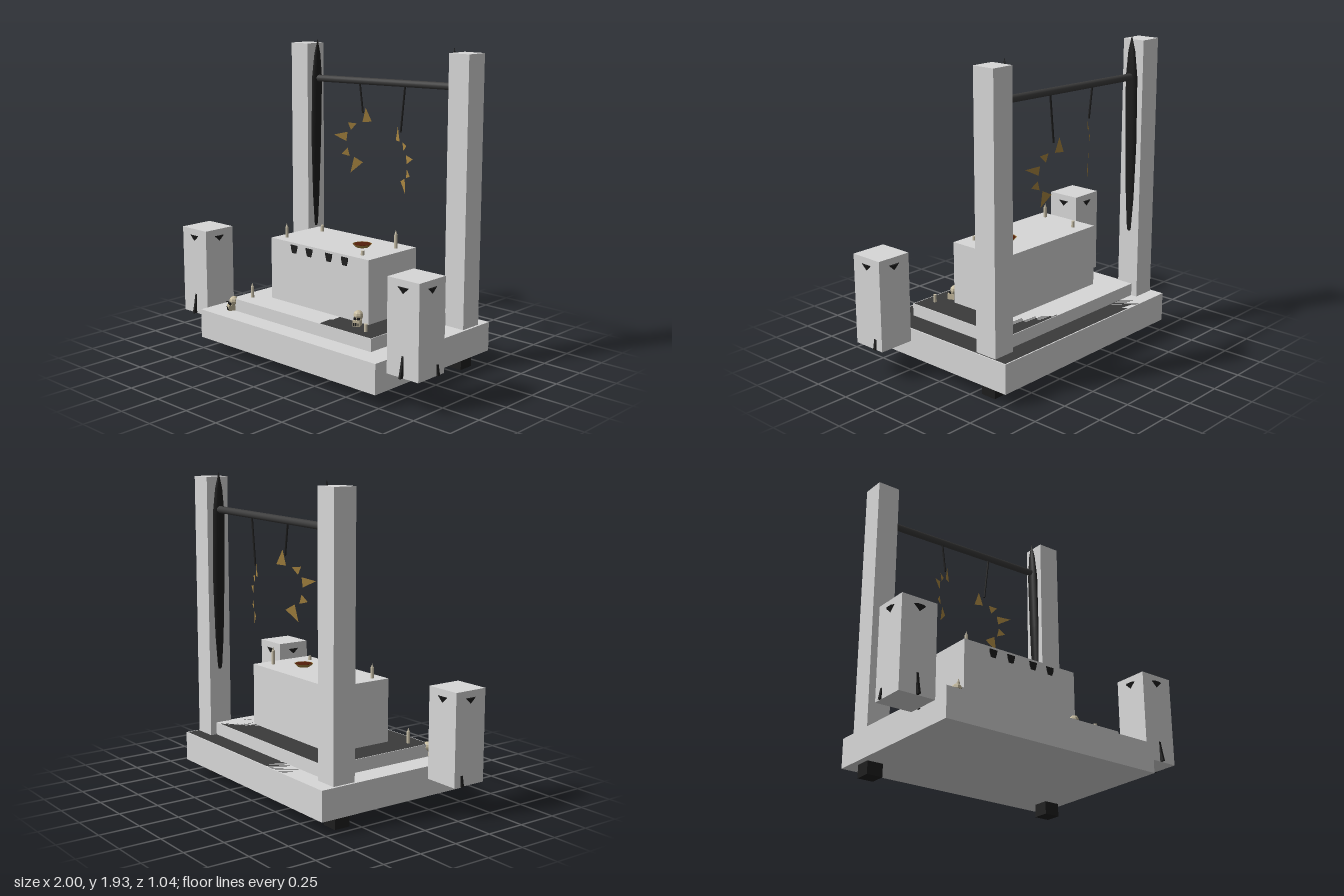
import * as THREE from 'three';

const mat = (name, color, options = {}) => {
  const m = new THREE.MeshStandardMaterial({ color, ...options });
  m.name = name;
  return m;
};

export function createModel() {
  const root = new THREE.Group();
  root.name = 'altar';
  const slate = mat('dark slate', 0x3a3a3a);
  const stone = mat('stone', 0xd8d8d8);
  const iron = mat('black iron', 0x1e1e1e);
  const bar = mat('charcoal bar', 0x3c3c3c);
  const gold = mat('old gold', 0xa88540, { side: THREE.DoubleSide });
  const wine = mat('dark red', 0x551e0a);
  const wax = mat('wax', 0xc8bfa8);
  const bone = mat('bone', 0xc8bda0, { flatShading: true });

  const add = (name, geo, m, x = 0, y = 0, z = 0, parent = root) => {
    const mesh = new THREE.Mesh(geo, m);
    mesh.name = name;
    mesh.position.set(x, y, z);
    parent.add(mesh);
    return mesh;
  };
  // box from its width, bottom, top and depth
  const block = (name, m, w, y0, y1, d, x = 0, z = 0, parent = root) =>
    add(name, new THREE.BoxGeometry(w, y1 - y0, d), m, x, (y0 + y1) / 2, z, parent);
  // rod between two points
  const rod = (name, m, a, b, r, sides) => {
    const p = new THREE.Vector3(...a), q = new THREE.Vector3(...b);
    const d = q.clone().sub(p);
    const mesh = add(name, new THREE.CylinderGeometry(r, r, d.length(), sides), m);
    mesh.position.copy(p.add(q).multiplyScalar(0.5));
    mesh.quaternion.setFromUnitVectors(new THREE.Vector3(0, 1, 0), d.normalize());
  };
  const outline = (points) => new THREE.Shape(points.map(([x, y]) => new THREE.Vector2(x, y)));
  const plate = (points, depth) => new THREE.ExtrudeGeometry(outline(points), { depth, bevelEnabled: false });
  const lathe = (points, sides) =>
    new THREE.LatheGeometry(points.map(([x, y]) => new THREE.Vector2(x, y)), sides);

  // stepped platform with dark paving let in flush, and altar block
  block('basePaving', slate, 1.464, 0.252, 0.262, 1.024);
  block('base', stone, 1.48, 0.08, 0.262, 1.04);
  block('stepPaving', slate, 1.17, 0.33, 0.34, 0.77);
  block('step', stone, 1.18, 0.262, 0.34, 0.78);
  block('altarBlock', stone, 0.82, 0.34, 0.73, 0.425);
  const tooth = plate([[-0.028, 0.05], [-0.025, 0.028], [-0.016, 0], [0.016, 0], [0.025, 0.028], [0.028, 0.05]], 0.006);
  for (const x of [-0.205, -0.075, 0.09, 0.22]) add('altarTooth', tooth, iron, x, 0.665, 0.211);

  // posts, feet and pointed inner blades leaning into the posts
  const blade = lathe([[0, 0], [0.75, 0], [1, 0.6], [1, 0.98], [0.6, 1.14], [0, 1.24]], 12);
  for (const s of [-1, 1]) {
    block('post', stone, 0.146, 0.262, 1.9, 0.148, s * 0.652, -0.357);
    block('foot', iron, 0.102, 0, 0.08, 0.102, s * 0.65, -0.35);
    const b = add('blade', blade, iron, s * 0.594, 0.69, -0.357);
    b.scale.set(0.022, 1, 0.041);
    b.rotation.z = s * 0.0275;
  }

  // crossbar and hanging chains
  rod('crossbar', bar, [-0.575, 1.674, -0.357], [0.575, 1.7, -0.357], 0.022, 16);
  rod('chain', iron, [-0.187, 1.67, -0.357], [-0.16, 1.48, -0.357], 0.006, 8);
  rod('chain', iron, [0.187, 1.68, -0.357], [0.155, 1.39, -0.357], 0.006, 8);

  // two arcs of flat gilded shards: x, y, length, half width, lean
  const arcs = [
    { name: 'leftArc', pivot: -0.15, yaw: 0.6, shards: [
      [-0.138, 1.47, 0.09, 0.03, 0.1], [-0.208, 1.405, 0.05, 0.026, -1.2], [-0.275, 1.335, 0.085, 0.03, 1.45],
      [-0.242, 1.235, 0.05, 0.027, -0.25], [-0.2, 1.14, 0.1, 0.033, 2.6]] },
    { name: 'rightArc', pivot: 0.15, yaw: -0.42, shards: [
      [0.12, 1.375, 0.09, 0.028, 0], [0.198, 1.315, 0.05, 0.028, 0.8], [0.275, 1.24, 0.09, 0.028, -1.4],
      [0.25, 1.15, 0.05, 0.028, 0.3], [0.208, 1.055, 0.095, 0.032, -2.7]] },
  ];
  for (const { name, pivot, yaw, shards } of arcs) {
    const g = new THREE.Group();
    g.name = name;
    g.position.set(pivot, 0, -0.357);
    g.rotation.y = yaw;
    root.add(g);
    for (const [x, y, len, r, lean] of shards) {
      const triangle = new THREE.ShapeGeometry(outline([[-r, -len / 2], [r, -len / 2], [0, len / 2]]));
      add('shard', triangle, gold, (x - pivot) / Math.cos(yaw), y, 0, g).rotation.z = lean;
    }
  }

  // freestanding pillars with wedges and claws
  const wedge = new THREE.ConeGeometry(0.04, 0.037, 6, 1, false, Math.PI / 6);
  const fin = plate([[0, 0], [0.026, 0], [0.012, 0.06], [0, 0.125]], 0.014);
  const claw = plate([[0, 0], [0.014, 0], [0, 0.075]], 0.018);
  for (const s of [-1, 1]) {
    const g = new THREE.Group();
    g.name = 'sidePillar';
    g.position.set(s * 0.874, 0, 0.338);
    root.add(g);
    block('pillar', stone, 0.226, 0.195, 0.75, 0.222, 0, 0, g);
    for (let i = 0; i < 4; i++) {
      const face = new THREE.Group();
      face.name = 'pillarFace';
      face.rotation.y = i * Math.PI / 2;
      g.add(face);
      const w = add('wedge', wedge, iron, 0, 0.69, 0.1125, face);
      w.rotation.x = Math.PI;
      w.scale.z = 0.35;
      if (i === 2) continue;
      const offset = [0, 0.055, 0, -0.055][i];
      add('claw', i ? claw : fin, iron, offset + 0.007, 0.196, 0.111, face).rotation.y = -Math.PI / 2;
    }
  }

  // candles: x, bottom, z, height
  for (const [x, y, z, h] of [[-0.345, 0.73, 0.14, 0.09], [-0.3, 0.73, -0.13, 0.04], [0.3, 0.73, 0.145, 0.026],
    [0.333, 0.73, -0.115, 0.112], [-0.505, 0.34, 0.293, 0.095], [0.48, 0.34, 0.312, 0.046]]) {
    const tip = h > 0.05 ? 0.025 : 0;
    add('candle', new THREE.CylinderGeometry(0.01, 0.011, h - tip, 14), wax, x, y + (h - tip) / 2, z);
    if (tip) add('candleTip', new THREE.ConeGeometry(0.008, tip, 14), wax, x, y + h - tip / 2, z);
  }

  // offering bowl
  add('bowl', lathe([[0, 0], [0.04, 0], [0.061, 0.02], [0.05, 0.017]], 8), gold, 0.165, 0.73, 0);
  add('bowlLiquid', new THREE.CylinderGeometry(0.053, 0.053, 0.003, 8), wine, 0.165, 0.748, 0);

  // skulls
  for (const [x, y, z, turn] of [[-0.58, 0.264, 0.385, -0.4], [0.367, 0.342, 0.253, 0.4]]) {
    const g = new THREE.Group();
    g.name = 'skull';
    g.position.set(x, y, z);
    g.rotation.y = turn;
    root.add(g);
    add('cranium', new THREE.SphereGeometry(0.03, 8, 6), bone, 0, 0.058, 0, g);
    block('jaw', bone, 0.042, 0, 0.036, 0.042, 0, 0.019, g);
    for (const i of [-1, 0, 1]) block('toothGap', iron, 0.008, 0.004, 0.022, 0.004, i * 0.013, 0.04, g);
    for (const s of [-1, 1]) block('eye', iron, 0.014, 0.036, 0.05, 0.012, s * 0.011, 0.026, g);
  }
  return root;
}
